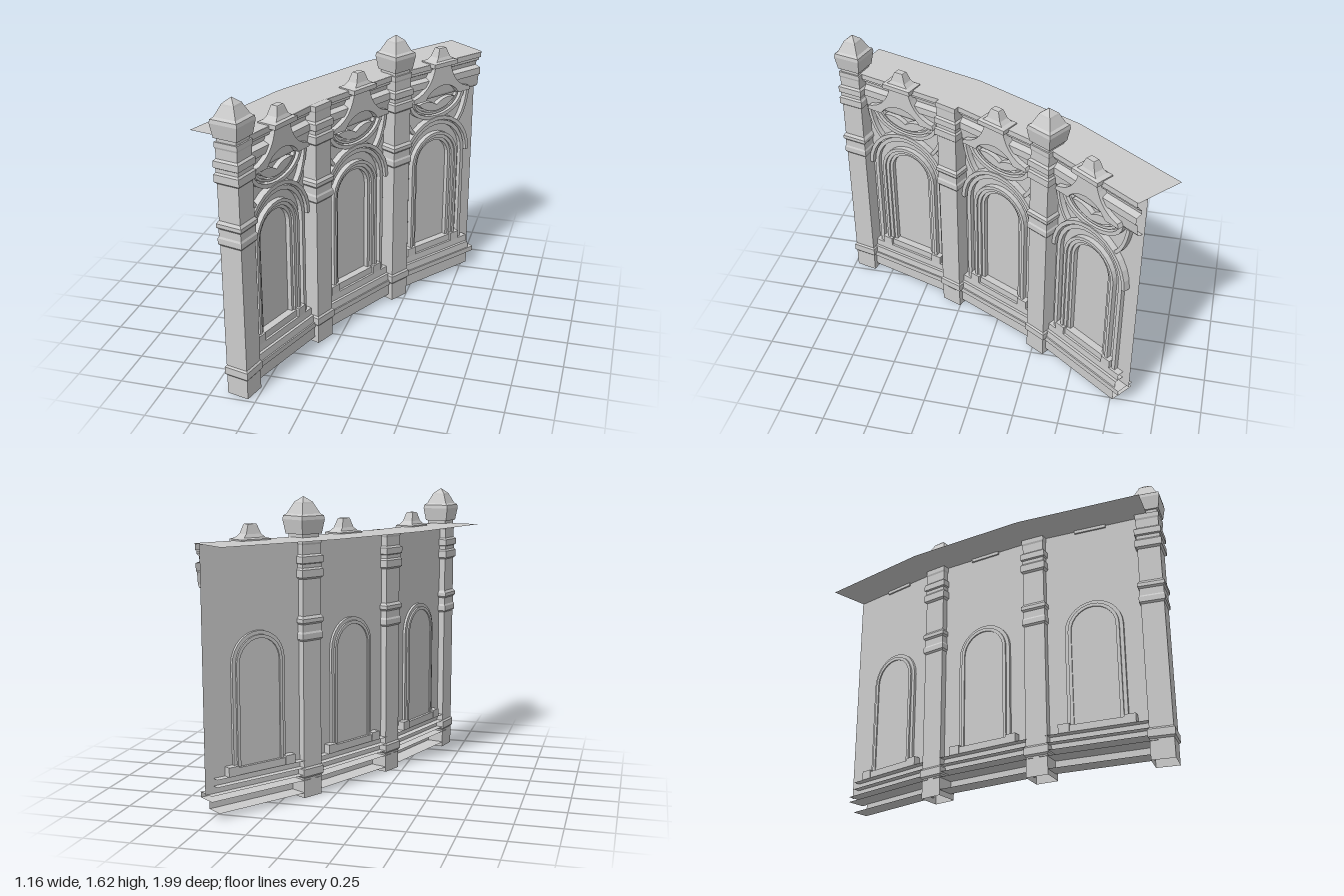
import * as THREE from 'three';

const mat = new THREE.MeshStandardMaterial({ color: 0xcccccc, flatShading: true, side: THREE.DoubleSide });
const HALF = 0.325;                       // half length of a bay
const rad = THREE.MathUtils.degToRad;
const V = (x, y) => new THREE.Vector2(x, y);

function add(parent, name, geo) {
  const m = new THREE.Mesh(geo, mat);
  m.name = name;
  parent.add(m);
  return m;
}

// open surface from rows of points, optionally closed around each row
function skin(rows, closed) {
  const pos = [], n = rows[0].length;
  for (let i = 0; i + 1 < rows.length; i++) {
    for (let j = 0; j < (closed ? n : n - 1); j++) {
      const k = (j + 1) % n;
      const a = rows[i][j], b = rows[i][k], c = rows[i + 1][k], d = rows[i + 1][j];
      pos.push(...a, ...b, ...c, ...a, ...c, ...d);
    }
  }
  const g = new THREE.BufferGeometry();
  g.setAttribute('position', new THREE.Float32BufferAttribute(pos, 3));
  g.computeVertexNormals();
  return g;
}

// stacked rectangles [y, width, depth]
const loft = (sections) => skin(sections.map(([y, w, d]) =>
  [[-w / 2, y, d / 2], [w / 2, y, d / 2], [w / 2, y, -d / 2], [-w / 2, y, -d / 2]]), true);

// moulding profile [z, y] run along the bay
const moulding = (profile, half) => skin(profile.map(([z, y]) => [[-half, y, z], [half, y, z]]), false);

function extrude(shape, z0, z1) {
  return new THREE.ExtrudeGeometry(shape, { depth: z1 - z0, bevelEnabled: false, curveSegments: 10 }).translate(0, 0, z0);
}

// strip of constant width following a path, extruded from z0 to z1
function band(pts, w, z0, z1) {
  const left = [], right = [];
  pts.forEach((p, i) => {
    const t = pts[Math.min(i + 1, pts.length - 1)].clone().sub(pts[Math.max(i - 1, 0)]).normalize();
    left.push(V(p.x - t.y * w / 2, p.y + t.x * w / 2));
    right.push(V(p.x + t.y * w / 2, p.y - t.x * w / 2));
  });
  return extrude(new THREE.Shape([...left, ...right.reverse()]), z0, z1);
}

// elliptical arc between two angles in degrees
function arc(cx, cy, rx, ry, a0, a1, n = 14) {
  return Array.from({ length: n + 1 }, (_, i) => {
    const a = rad(a0 + (a1 - a0) * i / n);
    return V(cx + rx * Math.cos(a), cy + ry * Math.sin(a));
  });
}
const archPath = (r, y0, yc) => [V(r, y0), V(r, (y0 + yc) / 2), ...arc(0, yc, r, r, 0, 180), V(-r, (y0 + yc) / 2), V(-r, y0)];

function makePillar(withCap) {
  const g = new THREE.Group();
  g.name = 'pillar';
  const s = 0.124, m = 0.14, b = 0.146;
  add(g, 'pillarShaft', loft([
    [0, s, s], [0.11, s, s], [0.12, m, m], [0.16, m, m], [0.17, s, s],
    [0.86, s, s], [0.87, m, m], [0.9, m, m], [0.91, 0.13, 0.13], [0.95, 0.13, 0.13], [0.96, b, b], [0.98, b, b], [0.995, s, s],
    [1.19, s, s], [1.2, b, b], [1.24, b, b], [1.25, 0.13, 0.13], [1.27, 0.13, 0.13], [1.275, b, b], [1.31, b, b], [1.32, s, s],
    [1.37, s, s], [1.38, 0.132, 0.132], [1.405, 0.132, 0.132], [1.405, 0, 0],
  ]));
  if (withCap) {
    add(g, 'pillarCap', loft([
      [1.405, 0, 0], [1.405, 0.115, 0.115], [1.425, 0.115, 0.115], [1.425, 0.135, 0.135], [1.5, 0.158, 0.158],
      [1.52, 0.152, 0.152], [1.53, 0.125, 0.125], [1.58, 0.078, 0.078], [1.59, 0.07, 0.07], [1.62, 0, 0],
    ]));
  }
  return g;
}

function makeBay() {
  const g = new THREE.Group();
  g.name = 'bay';

  // back wall with arched opening and recessed panel
  const arch = archPath(0.126, 0.25, 0.785);
  const wall = new THREE.Shape([V(-0.329, 0.13), V(0.329, 0.13), V(0.329, 1.405), V(-0.329, 1.405)]);
  wall.holes.push(new THREE.Path(arch));
  add(g, 'wall', new THREE.ShapeGeometry(wall)).position.z = -0.06;
  add(g, 'nichePanel', new THREE.ShapeGeometry(new THREE.Shape(arch))).position.z = -0.078;

  // arch mouldings
  add(g, 'nicheFrame', band(archPath(0.134, 0.23, 0.785), 0.018, -0.085, -0.052));
  add(g, 'nicheFrame', band(archPath(0.153, 0.23, 0.785), 0.02, -0.075, -0.04));
  add(g, 'nicheFrame', band(archPath(0.172, 0.23, 0.785), 0.018, -0.06, -0.03));
  add(g, 'outerArch', band(archPath(0.226, 0.21, 0.8), 0.024, -0.06, -0.035));
  add(g, 'outerArch', band(arc(0, 0.8, 0.256, 0.256, 0, 180), 0.022, -0.06, -0.022));

  // tracery between the arch and the cornice
  add(g, 'traceryBowl', band(arc(0, 1.19, 0.205, 0.125, 180, 360), 0.022, -0.06, -0.028));
  add(g, 'traceryBowl', band(arc(0, 1.19, 0.17, 0.1, 180, 360), 0.014, -0.06, -0.038));
  const lobes = new THREE.Shape();
  lobes.moveTo(-0.14, 1.165);
  lobes.quadraticCurveTo(-0.06, 1.185, 0, 1.14);
  lobes.quadraticCurveTo(0.06, 1.185, 0.14, 1.165);
  lobes.quadraticCurveTo(0.09, 1.11, 0, 1.105);
  lobes.quadraticCurveTo(-0.09, 1.11, -0.14, 1.165);
  add(g, 'traceryLobes', extrude(lobes, -0.06, -0.03));
  for (const s of [-1, 1]) {
    const curve = new THREE.QuadraticBezierCurve(V(s * 0.175, 1.0), V(s * 0.235, 1.06), V(s * 0.25, 1.185));
    add(g, 'traceryBranch', band(curve.getPoints(8), 0.02, -0.06, -0.03));
    // feet of the niche frame
    add(g, 'nicheFoot', new THREE.BoxGeometry(0.062, 0.05, 0.08)).position.set(s * 0.178, 0.235, -0.06);
  }
  add(g, 'sill', new THREE.BoxGeometry(0.32, 0.04, 0.06)).position.set(0, 0.23, -0.065);

  // base, open at the back with ledges running inward
  add(g, 'base', moulding([[-0.1, 0.03], [0, 0.03], [0, 0.1]], 0.27));
  add(g, 'baseStrip', moulding([[-0.1, 0.1], [0.008, 0.1], [0.008, 0.13], [-0.1, 0.13]], 0.315));
  add(g, 'baseTop', moulding([[0, 0.13], [-0.004, 0.17], [-0.1, 0.17]], 0.28));
  add(g, 'baseTop', moulding([[-0.02, 0.17], [-0.022, 0.21], [-0.1, 0.21]], 0.28));

  // entablature
  add(g, 'cornice', moulding([
    [-0.06, 1.185], [-0.03, 1.19], [-0.02, 1.205], [-0.014, 1.265], [-0.003, 1.27], [-0.003, 1.31],
    [-0.04, 1.32], [-0.036, 1.345], [-0.015, 1.355], [-0.015, 1.37], [0, 1.375], [0, 1.405], [-0.06, 1.405],
  ], 0.318));

  // concave gable ornament with an arched cut at the foot
  const gable = new THREE.Shape();
  gable.moveTo(-0.225, 1.2);
  gable.lineTo(-0.215, 1.225);
  gable.quadraticCurveTo(-0.09, 1.25, -0.06, 1.39);
  gable.lineTo(0.06, 1.39);
  gable.quadraticCurveTo(0.09, 1.25, 0.215, 1.225);
  gable.lineTo(0.225, 1.2);
  gable.lineTo(0.13, 1.2);
  gable.quadraticCurveTo(0.09, 1.265, 0, 1.27);
  gable.quadraticCurveTo(-0.09, 1.265, -0.13, 1.2);
  add(g, 'gable', extrude(gable, -0.05, 0.014));

  // finial above the gable
  const finial = add(g, 'finial', loft([
    [1.39, 0, 0], [1.39, 0.18, 0.11], [1.415, 0.18, 0.11], [1.422, 0.13, 0.08], [1.44, 0.09, 0.062],
    [1.485, 0.056, 0.042], [1.49, 0.05, 0.036], [1.49, 0, 0],
  ]));
  finial.position.z = -0.015;
  return g;
}

export function createModel() {
  const model = new THREE.Group();
  model.name = 'arcadeWall';
  const step = 8.65, first = 18.4;
  const along = (a) => V(Math.sin(rad(a)), -Math.cos(rad(a)));
  const outward = (a) => V(Math.cos(rad(a)), Math.sin(rad(a)));

  // corners of the curved wall line, in x and z
  const corners = [V(-0.31, 0.914)];
  for (let i = 0; i < 3; i++) corners.push(corners[i].clone().addScaledVector(along(first + i * step), HALF * 2));

  const back = [];
  corners.forEach((p, i) => {
    const a = first + (i - 0.5) * step;
    back.push(p.clone().addScaledVector(outward(a), -0.283));
    if (i === 3) return;
    const c = p.clone().addScaledVector(outward(a), -0.03);
    const pillar = makePillar(i !== 1);
    pillar.position.set(c.x, 0, c.y);
    pillar.rotation.y = rad(90 - a);
    model.add(pillar);

    const mid = p.clone().add(corners[i + 1]).multiplyScalar(0.5);
    const bay = makeBay();
    bay.position.set(mid.x, 0, mid.y);
    bay.rotation.y = rad(90 - (first + i * step));
    model.add(bay);
  });

  // thin roof sheet behind the cornice
  const row = (pts) => pts.map((p) => [p.x, 1.408, p.y]);
  add(model, 'roof', skin([row(corners), row(back)], false));
  return model;
}
